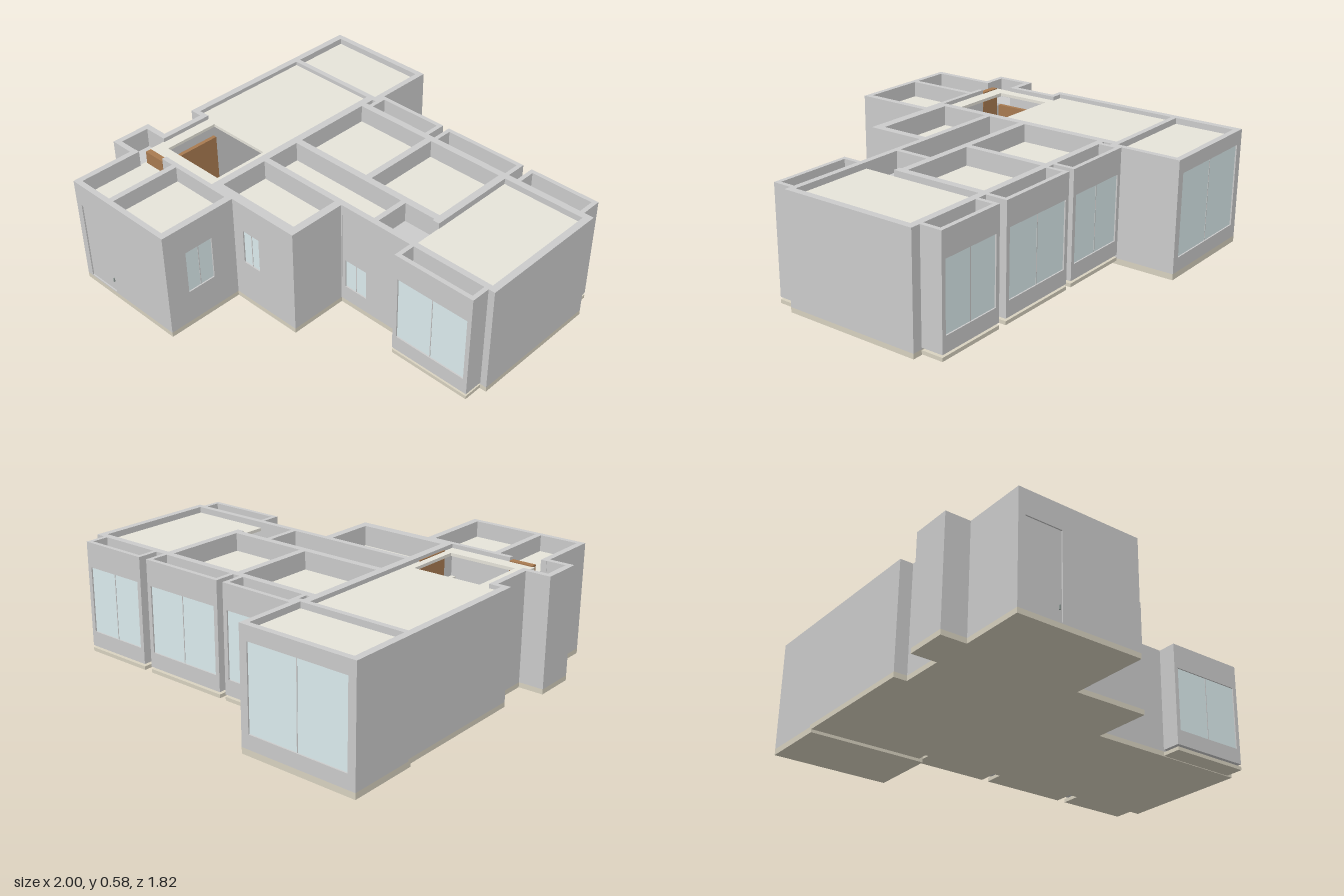
import * as THREE from 'three';

const TOP = 0.58, FLOOR = 0.04;
const mat = (color) => new THREE.MeshStandardMaterial({ color });
const GREY = mat(0xcccccc), PLASTER = mat(0xe6e4da), SLAB = mat(0xd8d2c0);
const GLASS = mat(0xdcecee), WOOD = mat(0xa87a50), DARK = mat(0x8f9a96);

export function createModel() {
  const model = new THREE.Group();

  // Box given by its limits
  function block(name, x0, x1, y0, y1, z0, z1, material = GREY, parent = model) {
    const m = new THREE.Mesh(new THREE.BoxGeometry(x1 - x0, y1 - y0, z1 - z0), material);
    m.position.set((x0 + x1) / 2, (y0 + y1) / 2, (z0 + z1) / 2);
    m.name = name;
    parent.add(m);
  }

  // Full height wall
  const wall = (name, x0, x1, z0, z1, y0 = FLOOR) => block(name, x0, x1, y0, TOP, z0, z1);

  // Wall with one opening from a0 to a1 along its length, closed by a thin panel
  function openWall(name, x0, x1, z0, z1, a0, a1, y0, y1, panel = GLASS, panes = 2, base = FLOOR) {
    const g = new THREE.Group();
    g.name = name;
    model.add(g);
    const alongX = x1 - x0 > z1 - z0;
    const [s, e, t0, t1] = alongX ? [x0, x1, z0, z1] : [z0, z1, x0, x1];
    const piece = (n, a, b, lo, hi, c, d, material) => {
      if (b - a < 0.001 || hi - lo < 0.001) return;
      if (alongX) block(n, a, b, lo, hi, c, d, material, g);
      else block(n, c, d, lo, hi, a, b, material, g);
    };
    piece('pier', s, a0, base, TOP, t0, t1, GREY);
    piece('pier', a1, e, base, TOP, t0, t1, GREY);
    piece('lintel', a0, a1, y1, TOP, t0, t1, GREY);
    piece('sill', a0, a1, base, y0, t0, t1, GREY);
    const inset = 0.007;
    piece(panel === GLASS ? 'glass' : 'doorLeaf', a0, a1, y0, y1, t0 + inset, t1 - inset, panel);
    for (let i = 1; i < panes; i++) {
      const c = a0 + (a1 - a0) * i / panes;
      piece('mullion', c - 0.002, c + 0.002, y0, y1, t0 + inset - 0.002, t1 - inset + 0.002, GREY);
    }
  }

  // Floor slab following the plan outline
  const plan = [
    [-0.94, -0.57], [-0.36, -0.57], [-0.36, -0.5], [1, -0.5], [1, 0.195], [0.135, 0.195],
    [0.135, 0.5], [-0.25, 0.5], [-0.25, 0.905], [-0.875, 0.905], [-0.875, 0.58], [-1, 0.58],
    [-1, 0.37], [-0.875, 0.37], [-0.875, 0.145], [-0.94, 0.145],
  ];
  const slabGeo = new THREE.ExtrudeGeometry(
    new THREE.Shape(plan.map(([x, z]) => new THREE.Vector2(x, z))), { depth: 0.025, bevelEnabled: false });
  const slab = new THREE.Mesh(slabGeo.rotateX(Math.PI / 2), SLAB);
  slab.position.y = FLOOR;
  slab.name = 'floorSlab';
  model.add(slab);
  block('loweredSlab', -0.94, -0.34, 0, 0.03, -0.91, -0.555, SLAB);

  // Plain walls: x0, x1, z0, z1
  const walls = {
    westWall: [-0.94, -0.905, -0.91, 0.145],
    terraceEastWall: [-0.37, -0.34, -0.91, -0.55],
    terraceDivider: [-0.94, -0.34, -0.572, -0.545],
    livingEastWall: [-0.4, -0.36, -0.56, 0.5],
    backWall: [-0.36, 1, -0.5, -0.465],
    eastWall: [0.965, 1, -0.5, 0.195],
    bedroomDividerA: [0.058, 0.093, -0.5, -0.02],
    bedroomDividerB: [0.5, 0.537, -0.5, 0],
    bedroomFrontWall: [-0.4, 0.537, -0.048, -0.012],
    corridorEndWall: [0.305, 0.332, -0.02, 0.19],
    corridorWall: [-0.4, 0.14, 0.165, 0.197],
    masterFrontWall: [0.535, 1, 0.165, 0.195],
    kitchenEastWall: [0.095, 0.135, 0.19, 0.5],
    entryNorthWall: [-0.72, -0.25, 0.488, 0.513],
    entryDivider: [-0.65, -0.62, 0.5, 0.88],
    entryWestWall: [-0.875, -0.845, 0.55, 0.905],
    stepWall: [-0.94, -0.845, 0.118, 0.145],
    diningWestWall: [-0.875, -0.845, 0.13, 0.39],
    nicheBackWall: [-1, -0.845, 0.37, 0.4],
    nicheWestWall: [-1, -0.97, 0.37, 0.58],
    nicheFrontWall: [-1, -0.845, 0.552, 0.58],
  };
  for (const [name, r] of Object.entries(walls)) wall(name, ...r);

  // Walls with windows or the entrance door
  openWall('terraceWindowWall', -0.94, -0.34, -0.91, -0.88, -0.9, -0.38, 0.1, 0.51, GLASS, 2, 0.03);
  block('terraceWestFoot', -0.94, -0.905, 0.03, FLOOR, -0.91, -0.57);
  block('terraceEastFoot', -0.37, -0.34, 0.03, FLOOR, -0.91, -0.57);
  openWall('kitchenFrontWall', -0.39, 0.135, 0.452, 0.5, -0.19, -0.088, 0.25, 0.43);
  openWall('bathFrontWall', 0.13, 0.54, 0.165, 0.195, 0.16, 0.288, 0.12, 0.275);
  openWall('entryEastWall', -0.285, -0.25, 0.5, 0.905, 0.635, 0.787, 0.21, 0.435);
  openWall('entranceWall', -0.875, -0.25, 0.877, 0.905, -0.84, -0.655, 0.045, 0.46, GREY, 1);
  block('doorHandle', -0.67, -0.664, 0.1, 0.12, 0.896, 0.905, DARK);

  // Bay windows: x0, x1, outer z, wall z
  const bays = [[-0.34, 0.047, -0.608, -0.5], [0.083, 0.533, -0.608, -0.5],
    [0.58, 0.95, -0.608, -0.5], [0.54, 0.967, 0.293, 0.195]];
  bays.forEach(([x0, x1, zo, zw], i) => {
    const back = zo < zw, lo = Math.min(zo, zw), hi = Math.max(zo, zw);
    const g0 = back ? lo : hi - 0.022, g1 = back ? lo + 0.022 : hi;
    block('baySlab', x0, x1, 0.018, 0.036, lo, hi, SLAB);
    wall('bayCheek', x0, x0 + 0.022, lo, hi, 0.048);
    wall('bayCheek', x1 - 0.022, x1, lo, hi, 0.048);
    openWall('bayWindow', x0, x1, g0, g1, x0 + 0.015, x1 - 0.015, 0.125, 0.455, GLASS, 2, 0.048);
    if (i > 1) block('bayCeiling', x0 + 0.01, x1 - 0.01, 0.455, 0.475, lo + 0.01, hi - 0.01);
    else block('baySeat', x0 + 0.02, x1 - 0.02, 0.1, 0.12, lo + 0.02, hi, i ? PLASTER : WOOD);
  });
  block('bayBeam', -0.33, 0.04, 0.455, 0.49, -0.595, -0.545);
  block('bayCurtainBoard', 0.105, 0.18, 0.13, 0.45, -0.57, -0.5, PLASTER);
  block('bayCabinet', 0.43, 0.48, 0.12, 0.3, -0.53, -0.5, DARK);

  // Suspended ceilings: x0, x1, z0, z1, top height
  const ceilings = [
    [-0.91, -0.365, -0.885, -0.565, 0.55], [-0.91, -0.395, -0.55, 0.13, 0.56],
    [-0.85, -0.79, 0.13, 0.49, 0.56], [-0.44, -0.395, 0.13, 0.49, 0.56],
    [-0.79, -0.44, 0.42, 0.49, 0.56], [-0.365, 0.06, -0.47, -0.045, 0.49],
    [0.09, 0.505, -0.47, -0.045, 0.49], [0.535, 0.97, -0.47, 0.17, 0.55],
    [-0.365, 0.31, -0.015, 0.17, 0.48], [-0.365, 0.1, 0.19, 0.455, 0.48],
    [-0.85, -0.645, 0.51, 0.88, 0.5], [-0.625, -0.28, 0.51, 0.88, 0.5],
  ];
  for (const [x0, x1, z0, z1, y] of ceilings) block('ceiling', x0, x1, y - 0.015, y, z0, z1, PLASTER);
  block('bathCeiling', 0.33, 0.537, 0.465, 0.48, -0.015, 0.17);
  block('nicheCeiling', -0.975, -0.85, 0.465, 0.48, 0.395, 0.555);

  // Dining area seen through the open ceiling
  block('diningFloor', -0.845, -0.4, FLOOR, 0.045, 0.145, 0.488, DARK);
  block('diningCabinet', -0.79, -0.77, 0.045, 0.5, 0.14, 0.42, WOOD);
  block('diningSideboard', -0.79, -0.72, 0.045, 0.3, 0.36, 0.42, WOOD);
  block('diningShelf', -0.47, -0.445, 0.045, 0.45, 0.22, 0.42, PLASTER);
  block('doorTrim', -0.405, -0.392, 0.045, 0.565, 0.22, 0.42, WOOD);
  block('entryScreen', -0.84, -0.72, 0.045, 0.565, 0.485, 0.515, WOOD);
  return model;
}
